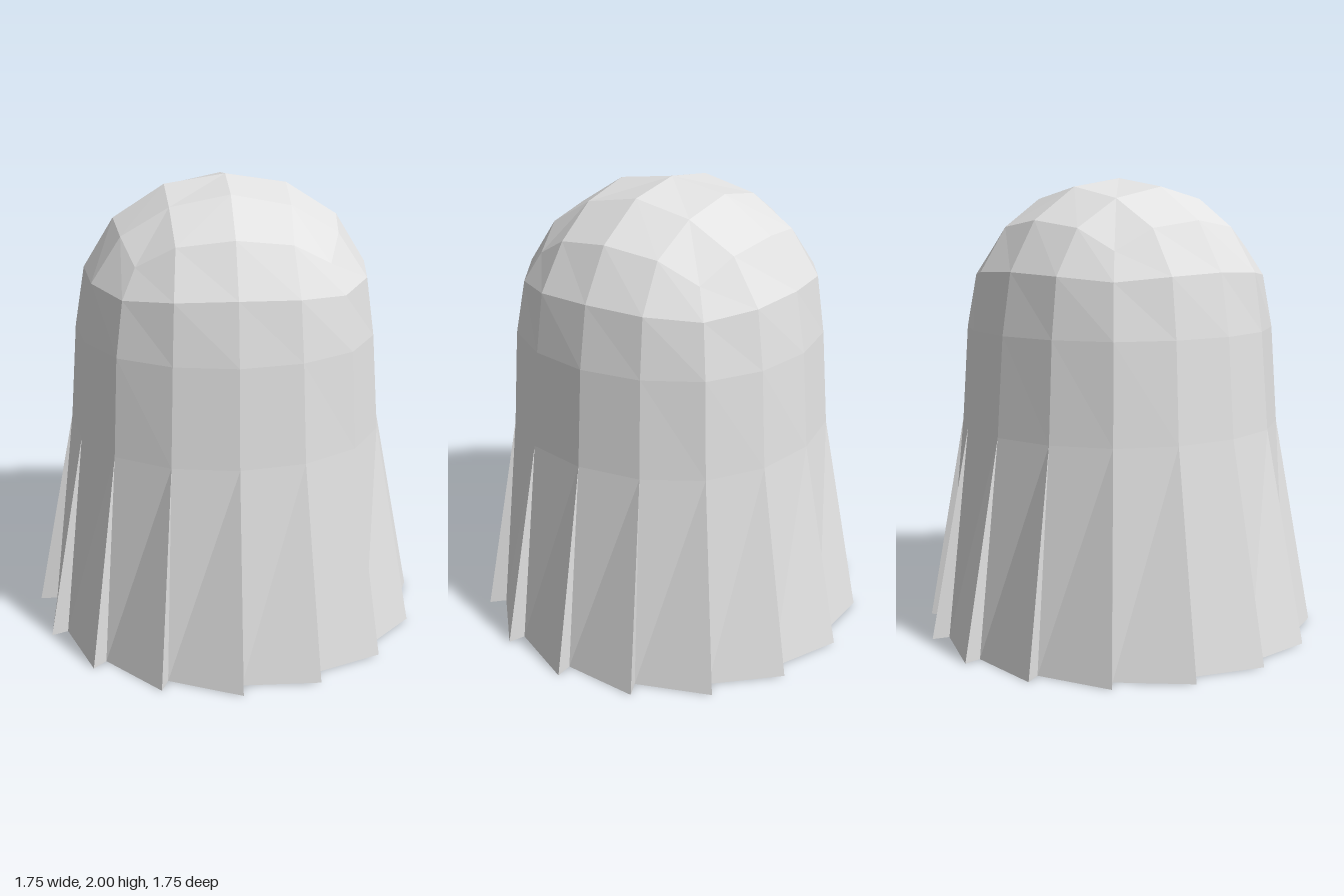
import * as THREE from 'three';

const cloth = new THREE.MeshStandardMaterial({ color: 0xe2e2e2, side: THREE.DoubleSide, flatShading: true });
cloth.name = 'pale cloth';

// Cap height field on a 5 x 5 grid, folded by symmetry: [major, height, minor]
const CAP = [
  [[0, 2, 0]],
  [[0.26, 1.96, 0], [0.25, 1.91, 0.25]],
  [[0.48, 1.82, 0], [0.45, 1.79, 0.235], [0.395, 1.7, 0.395]],
];
// Sixteen-sided rings below the cap: middle, in-between and corner points
const RINGS = [
  CAP[2],
  [[0.61, 1.61, 0], [0.575, 1.6, 0.25], [0.45, 1.58, 0.45]],
  [[0.655, 1.35, 0], [0.61, 1.35, 0.26], [0.48, 1.35, 0.48]],
  [[0.688, 0.93, 0], [0.64, 0.93, 0.273], [0.5, 0.93, 0.5]],
];
const SIDES = 16;

// Mirrors one table entry into the octant of grid point (i, j)
function place([major, y, minor], i, j) {
  const wide = Math.abs(i) >= Math.abs(j);
  return [Math.sign(i) * (wide ? major : minor), y, Math.sign(j) * (wide ? minor : major)];
}

function capPoint(i, j) {
  const a = Math.abs(i), b = Math.abs(j);
  return place(CAP[Math.max(a, b)][Math.min(a, b)], i, j);
}

// Point k around a ring, starting at the front and turning toward +x
function ringPoint(ring, k) {
  const n = (k + SIDES) % SIDES, side = Math.floor((n + 2) / 4) % 4, t = ((n + 2) % 4) - 2;
  const [i, j] = [[t, 2], [2, -t], [-t, -2], [-2, t]][side];
  return place(ring[Math.min(Math.abs(i), Math.abs(j))], i, j);
}

function hemPoint(radius, k) {
  const a = (k / SIDES) * Math.PI * 2;
  return [radius * Math.sin(a), 0, radius * Math.cos(a)];
}

function meshOf(name, triangles) {
  const geometry = new THREE.BufferGeometry();
  geometry.setAttribute('position', new THREE.Float32BufferAttribute(triangles.flat(2), 3));
  geometry.computeVertexNormals();
  const mesh = new THREE.Mesh(geometry, cloth);
  mesh.name = name;
  return mesh;
}

const quad = (a, b, c, d) => [[a, b, c], [a, c, d]];

export function createModel() {
  const group = new THREE.Group();
  group.name = 'drapedCloth';

  // Rounded crown, split along diagonals that run out from the middle
  const crown = [];
  for (let i = -2; i < 2; i++) {
    for (let j = -2; j < 2; j++) {
      const c = [capPoint(i, j), capPoint(i, j + 1), capPoint(i + 1, j + 1), capPoint(i + 1, j)];
      if ((i < 0) !== (j < 0)) c.push(c.shift());
      crown.push(...quad(...c));
    }
  }
  group.add(meshOf('crown', crown));

  // Smooth upper drape
  const drape = [];
  for (let r = 0; r < RINGS.length - 1; r++) {
    for (let k = 0; k < SIDES; k++) {
      drape.push(...quad(ringPoint(RINGS[r], k), ringPoint(RINGS[r + 1], k),
        ringPoint(RINGS[r + 1], k + 1), ringPoint(RINGS[r], k + 1)));
    }
  }
  group.add(meshOf('drape', drape));

  // Pleated skirt: each panel swings out to a tip, then folds back in
  const skirt = [];
  for (let k = 0; k < SIDES; k++) {
    const top = ringPoint(RINGS[3], k), nextTop = ringPoint(RINGS[3], k + 1);
    const inner = hemPoint(0.8, k), outer = hemPoint(0.875, k), nextOuter = hemPoint(0.875, k + 1);
    skirt.push([top, inner, nextTop], [inner, nextOuter, nextTop], [top, outer, inner]);
  }
  group.add(meshOf('pleatedSkirt', skirt));

  return group;
}
